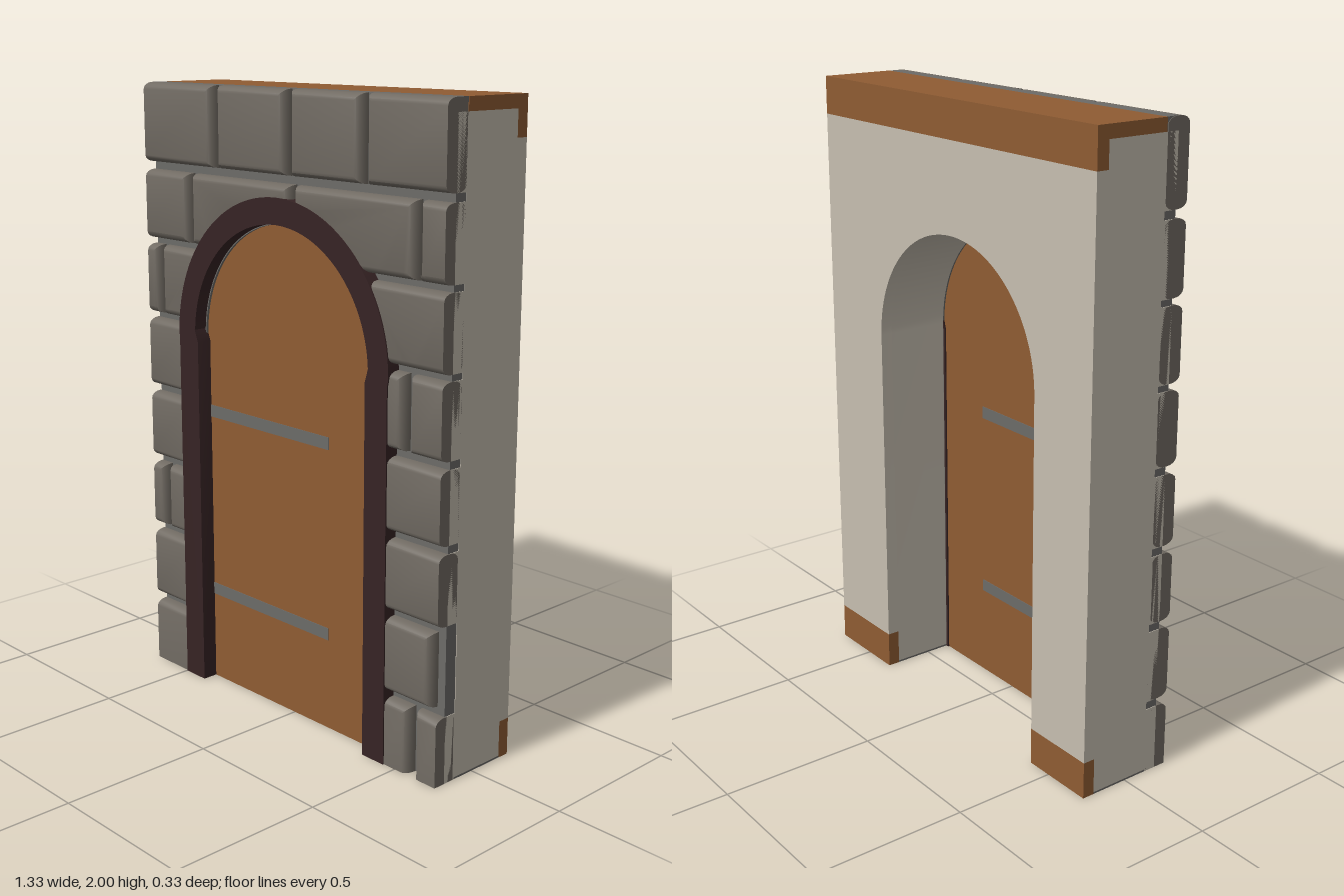
import * as THREE from 'three';
import { toCreasedNormals } from 'three/addons/utils/BufferGeometryUtils.js';

const HALF_W = 0.665, CX = -0.02, SPRING = 1.2;

export function createModel() {
  const model = new THREE.Group();
  model.name = 'archedDoorway';

  const mat = (name, color) => {
    const m = new THREE.MeshStandardMaterial({ color });
    m.name = name;
    return m;
  };
  const plaster = mat('plaster', 0xc6beb0);
  const wood = mat('wood', 0x8f5c33);
  const stone = mat('stone', 0x716b63);
  const grey = mat('mortarAndIron', 0x6c6b68);
  const darkWood = mat('darkFrame', 0x362324);

  const add = (name, geometry, material, parent = model) => {
    const mesh = new THREE.Mesh(geometry, material);
    mesh.name = name;
    parent.add(mesh);
    return mesh;
  };
  const box = (name, material, x0, x1, y0, y1, z0, z1, parent) => {
    const g = new THREE.BoxGeometry(x1 - x0, y1 - y0, z1 - z0);
    g.translate((x0 + x1) / 2, (y0 + y1) / 2, (z0 + z1) / 2);
    return add(name, g, material, parent);
  };
  const extrude = (shape, z0, z1) => {
    const g = new THREE.ExtrudeGeometry(shape, { depth: z1 - z0, bevelEnabled: false, curveSegments: 40 });
    g.translate(0, 0, z0);
    return toCreasedNormals(g, 0.6);
  };

  // Wall outline with an arched doorway open at the bottom
  const R = 0.395;
  const wallShape = (y0, y1) => {
    const s = new THREE.Shape();
    s.moveTo(-HALF_W, y0);
    s.lineTo(CX - R, y0);
    s.lineTo(CX - R, SPRING);
    s.absarc(CX, SPRING, R, Math.PI, 0, true);
    s.lineTo(CX + R, y0);
    s.lineTo(HALF_W, y0);
    s.lineTo(HALF_W, y1);
    s.lineTo(-HALF_W, y1);
    s.closePath();
    return s;
  };

  // Plaster wall and the grey bed behind the stones
  add('wallCore', extrude(wallShape(0.006, 1.96), -0.125, 0.08), plaster);
  add('wallBack', extrude(wallShape(0.12, 1.88), -0.165, -0.125), plaster);
  add('mortarBed', extrude(wallShape(0, 2), 0.08, 0.123), grey).scale.x = 0.997;

  // Wooden cap, back beam and skirting
  box('topCap', wood, -HALF_W, HALF_W, 1.96, 2, -0.165, 0.08);
  box('backBeam', wood, -HALF_W, HALF_W, 1.88, 1.96, -0.165, -0.125);
  for (const [x0, x1] of [[-HALF_W, CX - R], [CX + R, HALF_W]]) {
    box('skirting', wood, x0, x1, 0, 0.12, -0.165, -0.125);
    box('pierSole', grey, x0, x1, 0, 0.006, -0.125, 0.08);
  }

  // Door leaf with iron straps showing on both faces
  const door = new THREE.Group();
  door.name = 'door';
  model.add(door);
  const leaf = new THREE.Shape();
  leaf.moveTo(CX - 0.4, 0);
  leaf.lineTo(CX + 0.4, 0);
  leaf.lineTo(CX + 0.4, SPRING);
  leaf.absarc(CX, SPRING, 0.4, 0, Math.PI, false);
  leaf.closePath();
  add('doorLeaf', extrude(leaf, 0.085, 0.115), wood, door);
  for (const y of [0.32, 0.943]) {
    box('strap', grey, -0.414, 0.16, y - 0.02, y + 0.02, 0.083, 0.117, door);
  }

  // Dark frame: legs slightly inside the arch
  const f = new THREE.Shape();
  f.moveTo(CX - 0.478, 0);
  f.lineTo(CX - 0.385, 0);
  f.lineTo(CX - 0.385, 1.18);
  f.lineTo(CX - 0.4, SPRING + 0.02);
  f.absarc(CX, SPRING, 0.398, Math.PI - 0.05, 0.05, true);
  f.lineTo(CX + 0.385, 1.18);
  f.lineTo(CX + 0.385, 0);
  f.lineTo(CX + 0.475, 0);
  f.lineTo(CX + 0.475, 1.18);
  f.absarc(CX, SPRING, 0.48, 0, Math.PI, false);
  f.lineTo(CX - 0.478, 1.18);
  f.closePath();
  add('doorFrame', extrude(f, 0.08, 0.167), darkWood);

  // Stones: pillowed blocks, clipped below by the arch and flush at the wall edges
  const stones = new THREE.Group();
  stones.name = 'stones';
  model.add(stones);
  const archY = (x) => {
    const d = 0.44 * 0.44 - (x - CX) ** 2;
    return d > 0 ? SPRING + Math.sqrt(d) : 0;
  };
  const block = (x0, x1, y0, y1) => {
    const pts = [];
    const clipped = y0 > SPRING && y0 < 1.6;
    const n = clipped ? 14 : 1;
    for (let i = 0; i <= n; i++) {
      const x = x0 + (x1 - x0) * i / n;
      pts.push(new THREE.Vector2(x, clipped ? Math.max(y0, archY(x)) : y0));
    }
    pts.push(new THREE.Vector2(x1, y1), new THREE.Vector2(x0, y1));
    const g = new THREE.ExtrudeGeometry(new THREE.Shape(pts), {
      depth: 0.01, bevelThickness: 0.035, bevelSize: 0.022, bevelOffset: -0.022, bevelSegments: 4,
    });
    g.translate(0, 0, 0.118);
    const p = g.attributes.position;
    for (let i = 0; i < p.count; i++) {
      p.setX(i, THREE.MathUtils.clamp(p.getX(i), -HALF_W, HALF_W));
      p.setY(i, Math.max(0, p.getY(i)));
    }
    add('stone', toCreasedNormals(g, 0.7), stone, stones);
  };

  // Each course: bottom, top, then the x spans of its stones
  const E = 0.71, L = -0.465, Q = 0.425;
  const courses = [
    [-0.04, 0.215, [[-E, L], [Q, 0.55], [0.575, E]]],
    [0.24, 0.475, [[-E, L], [Q, 0.635]]],
    [0.5, 0.72, [[-E, -0.61], [-0.59, L], [Q, E]]],
    [0.745, 0.97, [[-E, L], [Q, E]]],
    [0.995, 1.225, [[-E, L], [Q, 0.51], [0.535, E]]],
    [1.245, 1.475, [[-E, -0.615], [-0.595, -0.38], [0.34, E]]],
    [1.495, 1.72, [[-E, -0.455], [-0.435, 0.03], [0.05, 0.545], [0.565, E]]],
    [1.745, 2, [[-E, -0.33], [-0.305, 0.01], [0.035, 0.33], [0.355, E]]],
  ];
  courses.forEach(([y0, y1, spans], row) => {
    for (const [x0, x1] of spans) block(x0, x1, y0, y1);
    // Plaster cheeks beside each course, leaving notches at the joints
    const top = Math.min(y1, 1.96), bottom = Math.max(y0, 0);
    for (const side of [-1, 1]) {
      if (row === 1 && side === 1) continue;
      const a = side * HALF_W, b = side * (HALF_W - 0.006);
      box('cheek', plaster, Math.min(a, b), Math.max(a, b), bottom, top, 0.08, 0.122);
    }
  });

  return model;
}
